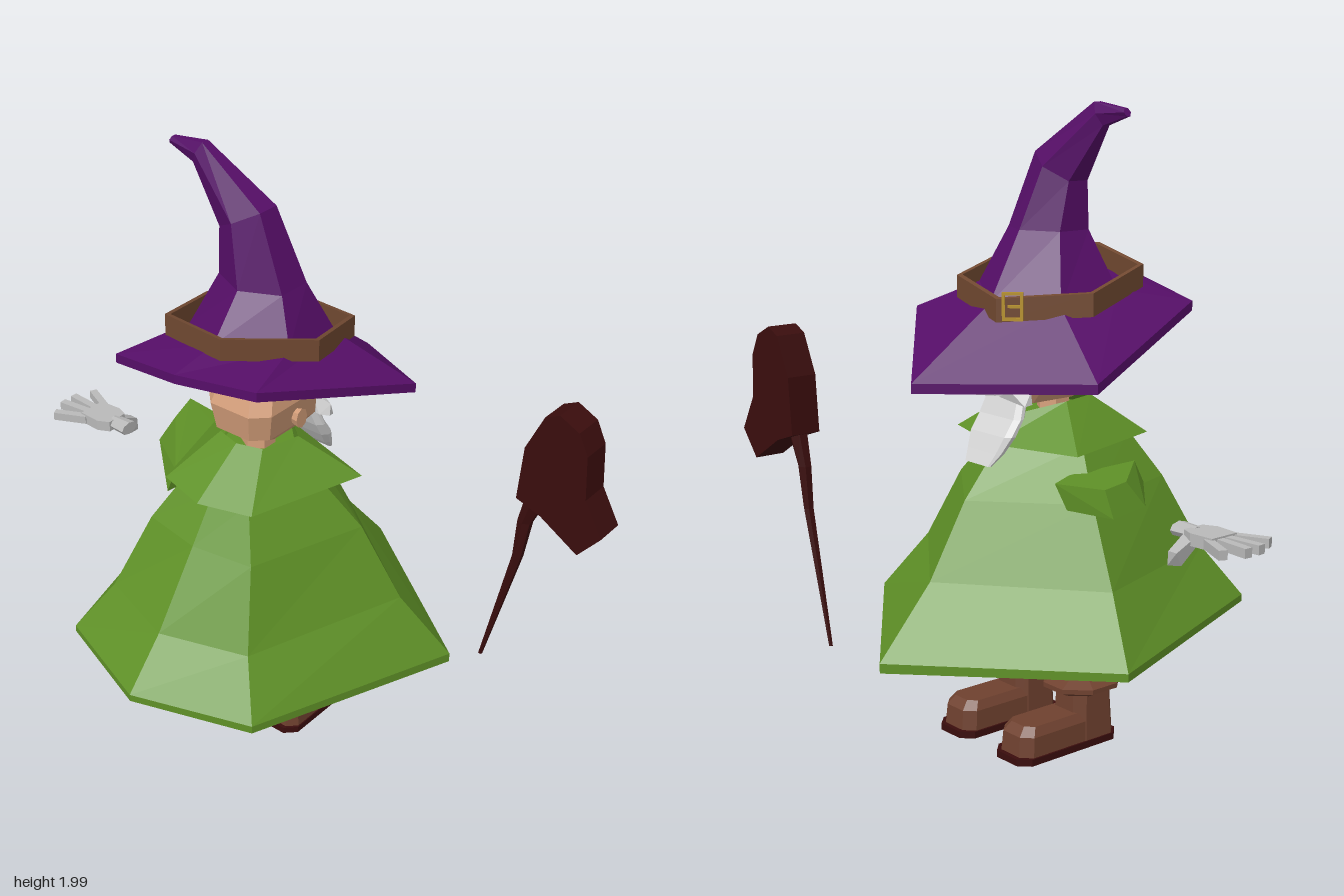
import * as THREE from 'three';
import { ConvexGeometry } from 'three/addons/geometries/ConvexGeometry.js';

const CZ = -0.025; // the body's centre line in z; the figure looks toward +x

function mat(name, color) {
  const m = new THREE.MeshStandardMaterial({ color, flatShading: true, side: THREE.DoubleSide });
  m.name = name;
  return m;
}

// Skin a stack of rings (lowest first), optionally capped
function loft(rings, bottom = true, top = true) {
  const p = [], n = rings[0].length;
  const tri = (a, b, c) => p.push(...a, ...b, ...c);
  const mid = r => [0, 1, 2].map(k => r.reduce((s, v) => s + v[k], 0) / n);
  for (let i = 0; i < n; i++) {
    const j = (i + 1) % n;
    for (let k = 0; k + 1 < rings.length; k++) {
      const a = rings[k], b = rings[k + 1];
      tri(a[i], b[i], a[j]);
      tri(a[j], b[i], b[j]);
    }
    const lo = rings[0], hi = rings[rings.length - 1];
    if (bottom) tri(mid(lo), lo[i], lo[j]);
    if (top) tri(mid(hi), hi[j], hi[i]);
  }
  const g = new THREE.BufferGeometry();
  g.setAttribute('position', new THREE.Float32BufferAttribute(p, 3));
  g.computeVertexNormals();
  return g;
}

// Six-sided mirrored ring: front, front side, back side, back; y tilts with x and z
const hexRing = (y, f, fx, fz, bx, bz, b, tx = 0, tz = 0) =>
  [[f, 0], [fx, fz], [bx, bz], [b, 0], [bx, -bz], [fx, -fz]]
    .map(([x, z]) => [x, y + tx * x + tz * z, z + CZ]);

// Regular ring with tilt about its own centre
const ring = (cx, cy, cz, rx, rz = rx, tx = 0, tz = 0, n = 6, turn = 0) =>
  Array.from({ length: n }, (_, i) => {
    const a = turn + i * 2 * Math.PI / n, x = rx * Math.cos(a), z = rz * Math.sin(a);
    return [cx + x, cy + tx * x + tz * z, cz + z];
  });

// Rectangle with cut corners
const cutRing = (y, x0, x1, hz, c, cz = 0) =>
  [[x1, -hz + c], [x1, hz - c], [x1 - c, hz], [x0 + c, hz], [x0, hz - c], [x0, -hz + c], [x0 + c, -hz], [x1 - c, -hz]]
    .map(([x, z]) => [x, y, z + cz]);

const hull = pts => new ConvexGeometry(pts.map(p => new THREE.Vector3(...p)));

export function createModel() {
  const model = new THREE.Group();
  model.name = 'wizard';
  const green = mat('cloak green', 0x5f9127), purple = mat('hat purple', 0x560e68),
    belt = mat('band brown', 0x714931), leather = mat('boot brown', 0x6f412f),
    wood = mat('dark wood', 0x3a0d0d), skin = mat('skin', 0xd39d79),
    hair = mat('white hair', 0xd6d6d6), glove = mat('grey glove', 0xb9b9b9), gold = mat('buckle gold', 0xb8922c);
  const add = (name, geometry, material, parent = model) => {
    const m = new THREE.Mesh(geometry, material);
    m.name = name;
    parent.add(m);
    return m;
  };
  const box = (name, size, pos, material, parent) => {
    const m = add(name, new THREE.BoxGeometry(...size), material, parent);
    m.position.set(...pos);
    return m;
  };

  // Cloak, open underneath
  add('cloak', loft([
    hexRing(0.363, 0.65, 0.205, 0.607, -0.51, 0.375, -0.65, -0.055, -0.025),
    hexRing(0.39, 0.65, 0.205, 0.607, -0.51, 0.375, -0.65, -0.05, -0.02),
    hexRing(0.575, 0.46, 0.13, 0.455, -0.415, 0.28, -0.51, -0.005, -0.02),
    hexRing(0.81, 0.325, 0.09, 0.323, -0.31, 0.205, -0.345, -0.02, -0.02),
    hexRing(0.965, 0.19, 0.025, 0.2, -0.23, 0.13, -0.245),
    hexRing(1.05, 0.13, 0.01, 0.12, -0.13, 0.08, -0.14),
  ], false, true), green);
  add('collar', loft([
    hexRing(0.962, 0.215, 0.125, 0.292, -0.27, 0.175, -0.32),
    [[0.135, 1.045, CZ], [0.02, 1.09, 0.095], [-0.11, 1.09, 0.06], [-0.135, 1.09, CZ], [-0.11, 1.09, -0.11], [0.02, 1.09, -0.145]],
  ], false, false), green);
  add('sleeve', hull([
    [0.2, 0.915, -0.52], [0.08, 0.912, -0.48], [-0.15, 0.9, -0.27], [0.1, 0.89, -0.25], [0.2, 0.89, -0.3],
    [0.21, 0.84, -0.568], [0.03, 0.835, -0.51], [-0.18, 0.83, -0.28], [0.1, 0.82, -0.25], [0.2, 0.82, -0.355],
  ]), green);

  // Hat: drooping brim, inner lining and bent cone
  const brim = [[0.5, 0], [0.165, 0.425], [-0.345, 0.235], [-0.385, -0.04], [-0.34, -0.32], [0.19, -0.475]];
  const brimRing = dy => brim.map(([x, z]) => [x, 1.298 + dy - 0.289 * x + 0.125 * z, z]);
  const base = (y, r) => ring(0, y, -0.03, r, r, -0.15, 0.1);
  add('hat', loft([
    brimRing(0), brimRing(0.03), base(1.435, 0.225),
    ring(-0.012, 1.61, -0.02, 0.115, 0.14),
    ring(-0.025, 1.8, -0.065, 0.075, 0.09, 0, 0.53),
    ring(-0.035, 1.96, -0.235, 0.027, 0.022, 0, 1.8),
    ring(-0.03, 1.967, -0.35, 0.014, 0.006, 0, 2.2),
  ], false, true), purple);
  add('hatLining', loft([brimRing(0), base(1.385, 0.2)], false, true), purple);

  // Loose hexagonal hat band with buckle
  const bandRing = (y, r) => ring(-0.01, y, -0.03, r, r, -0.18, 0.09, 6, -0.28);
  add('hatBand', loft([
    bandRing(1.412, 0.27), bandRing(1.412, 0.287), bandRing(1.482, 0.287), bandRing(1.482, 0.27), bandRing(1.412, 0.27),
  ], false, false), belt);
  const buckle = new THREE.Group();
  buckle.name = 'buckle';
  buckle.position.set(0.238, 1.405, -0.152);
  buckle.rotation.y = Math.PI / 2 + 0.28 - Math.PI / 6 + 1.05;
  for (const s of [-1, 1]) {
    box('buckleSide', [0.009, 0.085, 0.012], [s * 0.027, 0, 0], gold, buckle);
    box('buckleEnd', [0.06, 0.009, 0.012], [0, s * 0.038, 0], gold, buckle);
  }
  box('bucklePin', [0.04, 0.008, 0.012], [0.005, 0, 0], gold, buckle);
  model.add(buckle);

  // Head
  add('head', loft([
    cutRing(1.09, -0.07, 0.145, 0.075, 0.03, CZ), cutRing(1.13, -0.15, 0.16, 0.11, 0.045, CZ),
    cutRing(1.22, -0.165, 0.155, 0.125, 0.05, CZ), cutRing(1.325, -0.12, 0.09, 0.1, 0.045, CZ),
    cutRing(1.36, -0.07, 0.03, 0.06, 0.03, CZ),
  ]), skin);
  add('neck', loft([ring(-0.028, 1.03, CZ, 0.055), ring(-0.028, 1.12, CZ, 0.05)]), skin);
  add('nose', hull([[0.14, 1.24, CZ], [0.14, 1.15, CZ + 0.03], [0.14, 1.15, CZ - 0.03],
    [0.19, 1.17, CZ + 0.02], [0.19, 1.17, CZ - 0.02], [0.18, 1.145, CZ]]), skin);
  for (const s of [-1, 1]) {
    const ear = add('ear', new THREE.CylinderGeometry(0.026, 0.018, 0.04, 8), skin);
    ear.rotation.x = s * Math.PI / 2;
    ear.scale.z = 1.3;
    ear.position.set(0.012, 1.165, CZ + s * 0.12);
    add('eyebrow', hull([
      [0.06, 1.265, s * 0.125], [0.07, 1.235, s * 0.14], [0.13, 1.28, s * 0.13], [0.135, 1.22, s * 0.125],
      [0.17, 1.25, s * 0.025], [0.16, 1.215, s * 0.025], [0.19, 1.23, s * 0.06], [0.1, 1.19, s * 0.13],
    ].map(([x, y, z]) => [x, y, z + CZ])), hair);
    add('moustache', hull([
      [0.15, 1.155, 0], [0.15, 1.11, 0], [0.2, 1.15, s * 0.01], [0.195, 1.11, s * 0.01],
      [0.15, 1.17, s * 0.07], [0.205, 1.14, s * 0.07], [0.15, 1.1, s * 0.1],
      [0.17, 1.14, s * 0.13], [0.19, 1.095, s * 0.125], [0.165, 1.1, s * 0.13],
    ].map(([x, y, z]) => [x, y, z + CZ])), hair);
  }
  add('beard', loft([
    cutRing(0.912, 0.262, 0.278, 0.06, 0.005, CZ), cutRing(0.95, 0.222, 0.258, 0.08, 0.012, CZ),
    cutRing(1.0, 0.187, 0.235, 0.097, 0.016, CZ), cutRing(1.05, 0.157, 0.2, 0.098, 0.016, CZ),
    cutRing(1.12, 0.13, 0.172, 0.085, 0.014, CZ),
  ]), hair);

  // Legs and boots
  for (const z of [0.1, -0.185]) {
    const leg = new THREE.Group();
    leg.name = 'leg';
    leg.position.z = z;
    model.add(leg);
    const oct = (y, r) => ring(-0.012, y, 0, r, r * 0.92, 0, 0, 8, Math.PI / 8);
    add('shin', loft([oct(0.23, 0.045), oct(0.275, 0.045), oct(0.3, 0.056), oct(0.348, 0.06)]), skin, leg);
    add('sole', loft([cutRing(0, -0.11, 0.295, 0.082, 0.035), cutRing(0.022, -0.11, 0.295, 0.082, 0.035)]), wood, leg);
    add('foot', loft([cutRing(0.022, -0.095, 0.28, 0.076, 0.032), cutRing(0.085, -0.095, 0.275, 0.072, 0.032),
      cutRing(0.112, -0.08, 0.25, 0.055, 0.025)]), leather, leg);
    add('bootShaft', loft([cutRing(0.02, -0.098, 0.065, 0.078, 0.03), cutRing(0.18, -0.092, 0.058, 0.07, 0.03)]), leather, leg);
    add('bootCuff', loft([oct(0.165, 0.085), oct(0.185, 0.13), oct(0.2, 0.13), oct(0.22, 0.08), oct(0.247, 0.072)]), leather, leg);
  }

  // Floating hand
  const hand = new THREE.Group();
  hand.name = 'hand';
  model.add(hand);
  const wrist = add('wrist', loft([ring(0, -0.035, 0, 0.036, 0.022, 0, 0, 8), ring(0, 0.04, 0, 0.03, 0.02, 0, 0, 8)]), glove, hand);
  wrist.rotation.x = -Math.PI / 2;
  wrist.position.set(0.05, 0.808, -0.705);
  add('palm', hull([0.788, 0.825].flatMap(y => [[0.015, y, -0.73], [0.09, y, -0.73], [0.105, y, -0.77],
    [0.1, y, -0.85], [0.0, y, -0.85], [-0.005, y, -0.77]])), glove, hand);
  [[0.005, -0.045], [0.035, 0.022], [0.065, 0.075], [0.095, 0.143]].forEach(([x0, x1], i) => {
    const z1 = i % 3 ? -0.965 : -0.935;
    const f = box('finger', [0.026, 0.028, Math.hypot(x1 - x0, z1 + 0.83)], [(x0 + x1) / 2, 0.806, (z1 - 0.83) / 2], glove, hand);
    f.rotation.y = Math.atan2(x1 - x0, z1 + 0.83);
  });
  add('thumb', hull([[0.08, 0.815, -0.725], [0.08, 0.815, -0.775], [0.08, 0.78, -0.73], [0.08, 0.78, -0.77],
    [0.155, 0.775, -0.735], [0.155, 0.775, -0.768], [0.155, 0.732, -0.732], [0.12, 0.73, -0.735], [0.13, 0.732, -0.762]]), glove, hand);

  // Staff: slab head on a tapering crooked shaft
  const outline = [[0.79, 1.255], [0.74, 1.23], [0.68, 1.1], [0.665, 0.91], [0.755, 0.88], [0.895, 0.795],
    [0.97, 0.885], [0.905, 1.0], [0.895, 1.15], [0.86, 1.22]];
  const head = new THREE.ExtrudeGeometry(new THREE.Shape(outline.map(([z, y]) => new THREE.Vector2(-z, y))),
    { depth: 0.105, bevelEnabled: false });
  head.rotateY(Math.PI / 2);
  head.translate(0.395, 0, 0);
  add('staffHead', head, wood);
  add('staffShaft', loft([
    ring(0.446, 0.208, 0.552, 0.007), ring(0.447, 0.5, 0.622, 0.014), ring(0.448, 0.66, 0.66, 0.018),
    ring(0.449, 0.8, 0.675, 0.022, 0.026), ring(0.449, 0.92, 0.715, 0.03, 0.04),
  ]), wood);
  return model;
}
